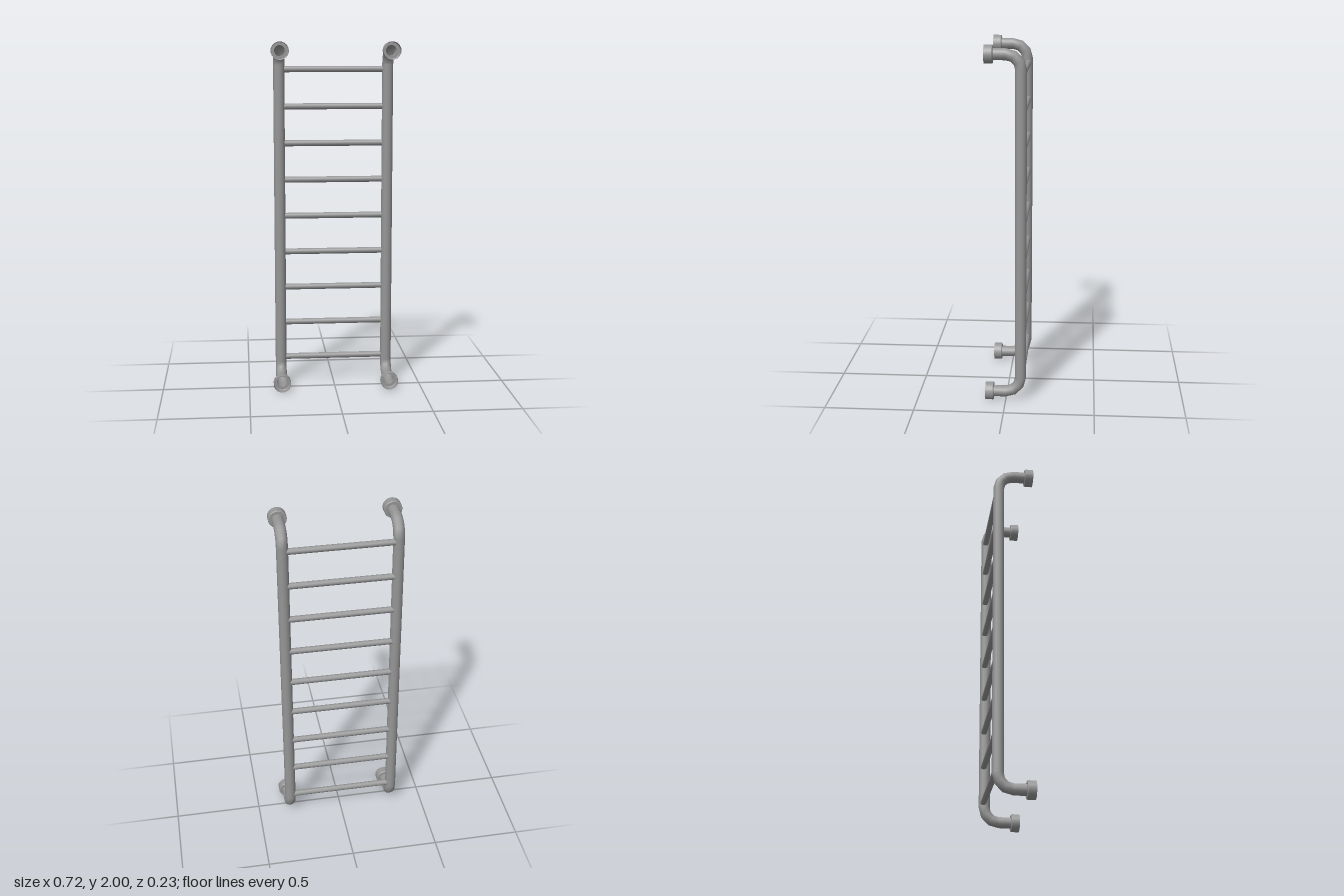
import * as THREE from 'three';

const RAIL_X = 0.311, RAIL_Z = -0.083, RAIL_R = 0.0318;
const LOW = 0.05, HIGH = 1.95, BEND = 0.083, END_Z = 0.07;

// Rail centreline: straight stub, quarter bend, long upright, quarter bend, stub
class RailCurve extends THREE.Curve {
  constructor() {
    super();
    this.stations = [];
    const add = (y, z, ty, tz) => this.stations.push({
      p: new THREE.Vector3(0, y, z), t: new THREE.Vector3(0, ty, tz),
    });
    const steps = 3;
    add(LOW, END_Z, 0, -1);
    for (const [cy, start] of [[LOW + BEND, 0], [HIGH - BEND, Math.PI / 2]]) {
      for (let i = 0; i <= steps; i++) {
        const a = start + (i / steps) * Math.PI / 2;
        add(cy - BEND * Math.cos(a), RAIL_Z + BEND - BEND * Math.sin(a), Math.sin(a), -Math.cos(a));
      }
    }
    add(HIGH, END_Z, 0, 1);
  }
  at(u) { return this.stations[Math.round(u * (this.stations.length - 1))]; }
  getPoint(u, target = new THREE.Vector3()) { return target.copy(this.at(u).p); }
  getPointAt(u, target) { return this.getPoint(u, target); }
  getTangentAt(u, target = new THREE.Vector3()) { return target.copy(this.at(u).t); }
}

export function createModel() {
  const model = new THREE.Group();
  model.name = 'wallLadder';
  const solid = new THREE.MeshStandardMaterial({ color: 0x969696 });
  const open = new THREE.MeshStandardMaterial({ color: 0x969696, side: THREE.DoubleSide });
  const add = (name, geometry, material, x, y, z) => {
    const mesh = new THREE.Mesh(geometry, material);
    mesh.name = name;
    mesh.position.set(x, y, z);
    model.add(mesh);
  };

  const curve = new RailCurve();
  const railGeo = new THREE.TubeGeometry(curve, curve.stations.length - 1, RAIL_R, 12, false);

  // Open mounting cup: back shoulder and outer wall, split to keep the edge crisp
  const shoulder = [[0.03, 0.067], [0.046, 0.067]];
  const rim = [[0.046, 0.067], [0.0488, 0.0685], [0.05, 0.072]];
  const wall = [[0.05, 0.072], [0.05, 0.114]];
  const cupParts = [shoulder, rim, wall].map((profile) =>
    new THREE.LatheGeometry(profile.map(([r, h]) => new THREE.Vector2(r, h)), 24).rotateX(Math.PI / 2));

  for (const [side, s] of [['left', 1], ['right', -1]]) {
    add(side + 'Rail', railGeo, open, s * RAIL_X, 0, 0);
    for (const [level, y] of [['Lower', LOW], ['Upper', HIGH]]) {
      cupParts.forEach((g) => add(side + level + 'MountingCup', g, open, s * RAIL_X, y, 0));
    }
  }

  // Nine evenly spaced rungs
  const rungGeo = new THREE.CylinderGeometry(0.0175, 0.0175, 2 * RAIL_X, 12).rotateZ(Math.PI / 2);
  for (let i = 0; i < 9; i++) add('rung' + (i + 1), rungGeo, solid, 0, 0.157 + i * 0.2108, -0.09);

  return model;
}
